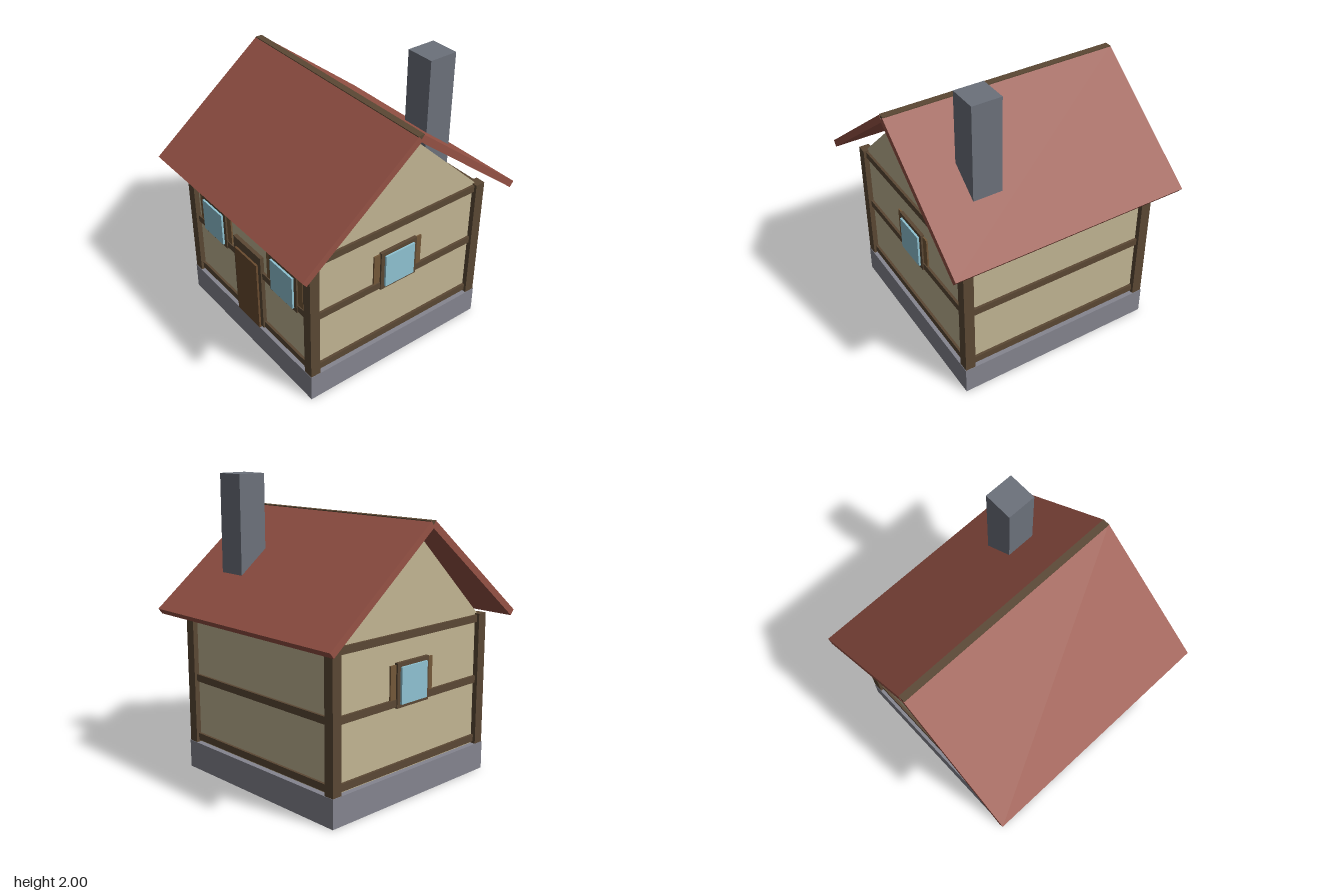
import * as THREE from 'three';

const mat = (color) => new THREE.MeshStandardMaterial({ color });
const STONE = mat(0x85858f), CHIMNEY = mat(0x6c717b), PLASTER = mat(0xc2b593), BEAM = mat(0x5b4834);
const ROOF = mat(0x965245), SHUTTER = mat(0x745839), DOOR = mat(0x694b2f), GLASS = mat(0x8fc3d3);

const WALL = 0.667; // half width of the plastered walls
const BASE = 0.19, EAVE = 1.09, APEX = 1.71;

// Box given by its extents on each axis
function block(parent, name, material, [x0, x1], [y0, y1], [z0, z1]) {
  const mesh = new THREE.Mesh(new THREE.BoxGeometry(x1 - x0, y1 - y0, z1 - z0), material);
  mesh.position.set((x0 + x1) / 2, (y0 + y1) / 2, (z0 + z1) / 2);
  mesh.name = name;
  parent.add(mesh);
  return mesh;
}

// Frame, protruding pane and a pair of open shutters, on the +z side of its parent
function addWindow(parent, x) {
  const win = new THREE.Group();
  win.name = 'window';
  win.position.x = x;
  block(win, 'windowFrame', BEAM, [-0.145, 0.145], [0.61, 0.897], [WALL - 0.02, 0.69]);
  block(win, 'windowPane', GLASS, [-0.118, 0.118], [0.633, 0.87], [WALL, 0.704]);
  for (const s of [-1, 1]) {
    const edges = [s * 0.13, s * 0.193].sort((a, b) => a - b);
    block(win, 'shutter', SHUTTER, edges, [0.63, 0.885], [WALL - 0.02, 0.678]);
  }
  parent.add(win);
}

export function createModel() {
  const house = new THREE.Group();
  house.name = 'house';

  // Foundation and main walls
  block(house, 'foundation', STONE, [-0.705, 0.705], [0, BASE], [-0.705, 0.705]);
  block(house, 'walls', PLASTER, [-WALL, WALL], [BASE, 1.075], [-WALL, WALL]);

  // Four sides, each built facing +z and then turned: front, left, back, right
  ['front', 'leftSide', 'back', 'rightSide'].forEach((name, i) => {
    const side = new THREE.Group();
    side.name = name;
    side.rotation.y = (i * Math.PI) / 2;
    for (const y of [0.228, 0.643, 1.057])
      block(side, 'crossBeam', BEAM, [-0.64, 0.64], [y - 0.024, y + 0.024], [WALL - 0.02, 0.684]);
    block(side, 'cornerPost', BEAM, [0.632, 0.702], [BASE, EAVE], [0.632, 0.702]);
    if (name === 'front') {
      addWindow(side, -0.4);
      addWindow(side, 0.4);
      block(side, 'doorFrame', BEAM, [-0.157, 0.157], [0.202, 0.785], [WALL - 0.02, 0.694]);
      block(side, 'door', DOOR, [-0.126, 0.126], [BASE, 0.715], [WALL, 0.708]);
    } else if (name !== 'back') {
      addWindow(side, 0);
      // Thin gable panel, open to the attic behind it
      const tri = new THREE.Shape([
        new THREE.Vector2(-WALL, 1.075), new THREE.Vector2(WALL, 1.075), new THREE.Vector2(0, APEX),
      ]);
      const geo = new THREE.ExtrudeGeometry(tri, { depth: 0.04, bevelEnabled: false });
      const gable = new THREE.Mesh(geo, PLASTER);
      gable.name = 'gable';
      gable.position.z = WALL - 0.04;
      side.add(gable);
    }
    house.add(side);
  });

  // Two sloping roof slabs
  const slope = Math.atan2(0.647, 0.82);
  for (const s of [1, -1]) {
    const slab = new THREE.Mesh(new THREE.BoxGeometry(1.65, 0.046, 1.044), ROOF);
    slab.name = s > 0 ? 'frontRoof' : 'backRoof';
    slab.position.set(0, 1.415, s * 0.4155);
    slab.rotation.x = s * slope;
    house.add(slab);
  }

  // Ridge beam and chimney
  block(house, 'ridgeBeam', BEAM, [-0.823, 0.823], [1.715, 1.759], [-0.024, 0.024]);
  block(house, 'chimney', CHIMNEY, [0.322, 0.522], [1.07, 2], [-0.528, -0.328]);

  return house;
}
